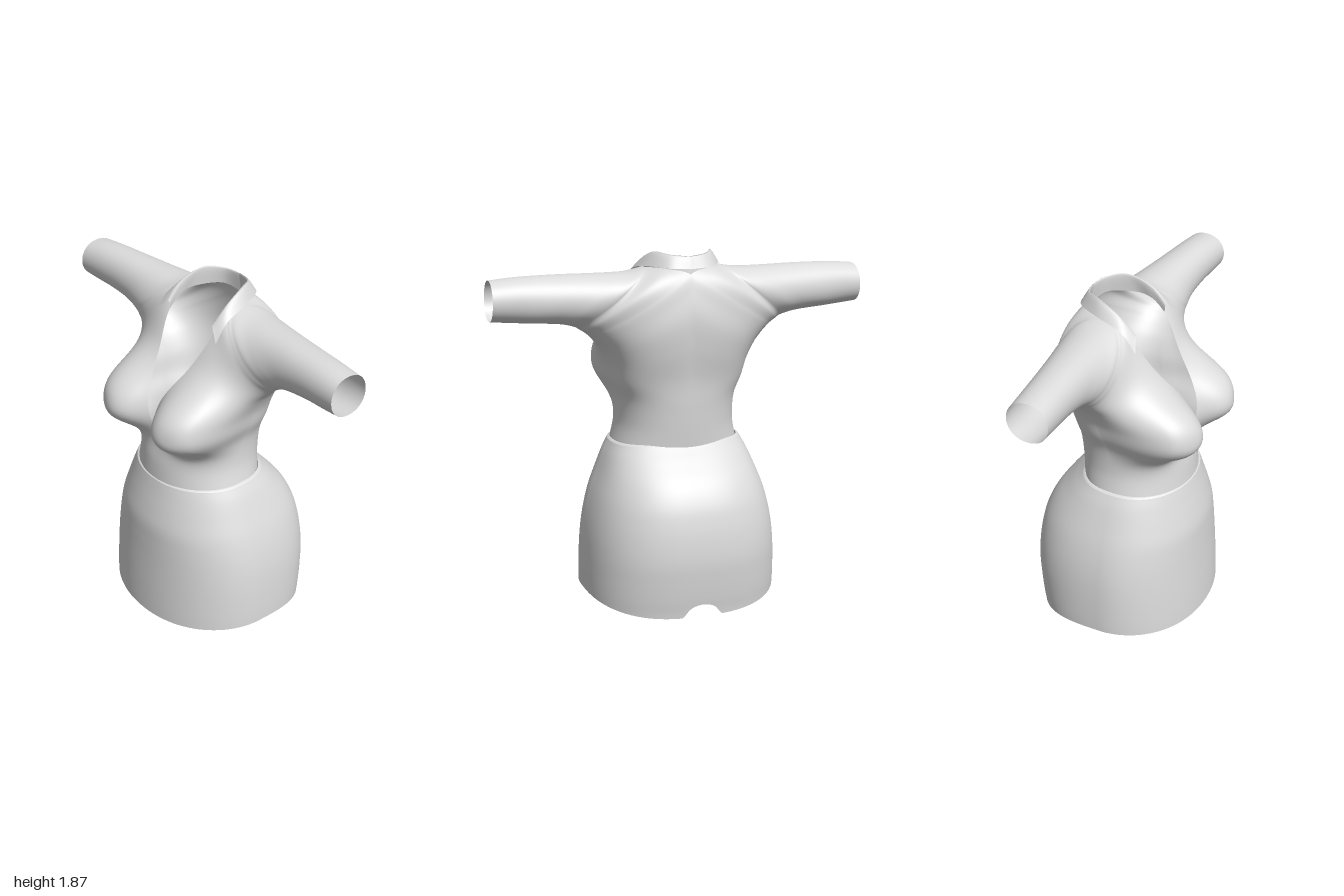
import * as THREE from 'three';
import { mergeVertices, mergeGeometries } from 'three/addons/utils/BufferGeometryUtils.js';

// Smooth interpolation through rows of numbers, t in 0..1
function sampleRows(rows, t) {
  const f = t * (rows.length - 1);
  const i = Math.min(Math.floor(f), rows.length - 2);
  const w = f - i;
  const row = (k) => rows[Math.max(0, Math.min(rows.length - 1, k))];
  return rows[0].map((_, c) => {
    const [a, b, d, e] = [row(i - 1)[c], row(i)[c], row(i + 1)[c], row(i + 2)[c]];
    return b + 0.5 * w * (d - a + w * (2 * a - 5 * b + 4 * d - e + w * (3 * (b - d) + e - a)));
  });
}

// Grid surface from a point function of (u, v)
function sheet(nu, nv, point, flip = false) {
  const pos = [], idx = [];
  for (let i = 0; i <= nu; i++) for (let j = 0; j <= nv; j++) pos.push(...point(i / nu, j / nv));
  for (let i = 0; i < nu; i++) for (let j = 0; j < nv; j++) {
    const a = i * (nv + 1) + j, b = a + 1, c = a + nv + 1, d = c + 1;
    if (flip) idx.push(a, c, b, b, c, d);
    else idx.push(a, b, c, b, d, c);
  }
  const g = new THREE.BufferGeometry();
  g.setAttribute('position', new THREE.Float32BufferAttribute(pos, 3));
  g.setIndex(idx);
  return g;
}

// Joins sheets into one smooth surface
function weld(sheets) {
  const g = mergeVertices(mergeGeometries(sheets), 1e-4);
  g.computeVertexNormals();
  return g;
}

// Sections fan from the waist round the armpit to the cuff.
// Outer edge (side seam, underarm): x, y, z
const outer = [
  [.34, .86, .06], [.318, .97, .05], [.322, 1.1, .04], [.355, 1.2, .02], [.376, 1.29, 0],
  [.415, 1.37, -.01], [.46, 1.425, -.02], [.497, 1.46, -.03], [.53, 1.482, -.035], [.56, 1.5, -.04],
  [.62, 1.518, -.048], [.69, 1.527, -.05], [.8, 1.535, -.05], [.9, 1.542, -.04], [.995, 1.55, -.035],
];
// Shoulder ridge and sleeve top, shared by front and back
const ridge = [
  [.2, 1.79, -.07], [.3, 1.775, -.08], [.45, 1.772, -.07], [.65, 1.772, -.052], [.85, 1.767, -.04], [.99, 1.755, -.035],
];
const ridgeStart = 9 / 14;
// Front edge of the open neckline, then the ridge
const frontInner = [
  [0, .85, .355], [0, .95, .345], [0, 1.06, .325], [.018, 1.2, .32], [.055, 1.35, .285],
  [.12, 1.5, .21], [.17, 1.65, .125], [.178, 1.76, .04], [.186, 1.79, -.03], ...ridge,
];
// Centre back and back neckline, then the ridge
const backInner = [
  [0, .86, -.22], [0, .96, -.23], [0, 1.08, -.24], [0, 1.22, -.25], [0, 1.4, -.278],
  [0, 1.55, -.288], [0, 1.68, -.268], [0, 1.765, -.24], [.11, 1.793, -.19], ...ridge,
];
// Section roundness: inner handle along the section, inner depth, outer depth
const frontShape = [
  [.56, 0, .165], [.57, 0, .17], [.57, 0, .21], [.5, 0, .26], [.45, .01, .26], [.4, .03, .21], [.3, .05, .18],
  [.2, .11, .18], [.1, .17, .19], [0, .2, .2], [0, .2, .19], [0, .18, .17], [0, .16, .16], [0, .15, .15], [0, .147, .147],
];
const backShape = [
  [.6, 0, -.18], [.6, 0, -.18], [.6, 0, -.19], [.6, -.005, -.2], [.57, -.02, -.21], [.53, -.035, -.225], [.47, -.055, -.235],
  [.37, -.085, -.235], [.2, -.13, -.23], [0, -.22, -.22], [0, -.205, -.205], [0, -.185, -.185], [0, -.167, -.167],
  [0, -.155, -.155], [0, -.147, -.147],
];

// Rounded fullness of the bust
function bust(x, y) {
  const dy = y - 1.24;
  const r = Math.hypot((x - .23) / .18, dy / (dy > 0 ? .2 : .15));
  return .19 * Math.exp(-(r ** 3));
}

function shirtPanel(inner, shape, isFront, side) {
  const point = (u, v) => {
    const onRidge = u > ridgeStart - 1e-6;
    const p = onRidge ? sampleRows(ridge, Math.max(0, (u - ridgeStart) / (1 - ridgeStart))) : sampleRows(inner, u);
    const o = sampleRows(outer, u), [a, b, c] = sampleRows(shape, u);
    p[0] = Math.max(0, p[0]);
    const curve = new THREE.CubicBezierCurve3(
      new THREE.Vector3(...p),
      new THREE.Vector3(p[0] + a * (o[0] - p[0]), p[1] + a * (o[1] - p[1]), p[2] + b),
      new THREE.Vector3(o[0], o[1], o[2] + c),
      new THREE.Vector3(...o));
    const q = curve.getPoint(v);
    if (isFront) {
      const swell = bust(q.x, q.y) * (1 - v ** 10);
      q.z += swell;
      q.x += swell * .25 * Math.max(0, Math.min(1, (q.x - .1) / .2));
    }
    return [side * q.x, q.y, q.z];
  };
  return sheet(98, 32, point, isFront === (side > 0));
}

// Collar lines from centre back to front tip
const collarBase = [[0, 1.745, -.232], [.1, 1.775, -.188], [.17, 1.77, -.06], [.176, 1.75, .03], [.172, 1.69, .1]];
const collarTop = [[0, 1.855, -.218], [.09, 1.864, -.19], [.152, 1.872, -.1], [.178, 1.82, .02], [.176, 1.735, .11]];
const collarLeaf = [[0, 1.795, -.25], [.12, 1.8, -.225], [.205, 1.8, -.09], [.232, 1.76, .055], [.242, 1.67, .14]];

function collarHalf(side) {
  const point = (u, v) => {
    const p = sampleRows([collarBase, collarTop, collarLeaf].map((line) => sampleRows(line, u)), v);
    return [side * Math.max(0, p[0]), p[1], p[2]];
  };
  return sheet(28, 10, point, side > 0);
}

// Skirt levels every 0.1 from hem to above the waist: half width, front z, back z
const skirtLevels = [
  [.522, .455, -.435], [.524, .452, -.45], [.522, .447, -.462], [.517, .441, -.47], [.507, .435, -.466],
  [.489, .43, -.452], [.462, .423, -.425], [.425, .4, -.37], [.385, .373, -.28], [.338, .35, -.19],
];

function skirtPoint(u, v) {
  const angle = u * Math.PI * 2 - Math.PI / 2;
  const c = Math.cos(angle), s = Math.sin(angle);
  // Outline: oval front, squarer back
  const power = 2 / (s > 0 ? 2.08 : 2.6);
  const round = (n) => Math.sign(n) * Math.abs(n) ** power;
  // Hem dips at the back, with a small arched vent at the centre
  let hem = s > 0 ? .07 - .03 * s * s : .07 - .07 * Math.abs(s) ** 1.6;
  const vent = Math.abs(.52 * round(c)) / .095;
  if (s < 0 && vent < 1) hem += .07 * Math.sqrt(1 - vent ** 2);
  const y = hem + (.86 - .01 * s - hem) * v;
  const [half, front, back] = sampleRows(skirtLevels, y / .9);
  const mid = .05;
  return [half * round(c), y, mid + (s > 0 ? front - mid : mid - back) * round(s)];
}

// Narrow rolled waistband edge, turned in to the shirt
function bandPoint(u, v) {
  const p = skirtPoint(u, 1), k = 1 - .045 * v;
  return [p[0] * k, p[1] + .008 * Math.sin(v * Math.PI / 2), .05 + (p[2] - .05) * k];
}

export function createModel() {
  const model = new THREE.Group();
  const cloth = new THREE.MeshStandardMaterial({ color: 0xdcdcdc, side: THREE.DoubleSide });
  cloth.name = 'light grey cloth';
  const add = (name, sheets) => {
    const mesh = new THREE.Mesh(weld(sheets), cloth);
    mesh.name = name;
    model.add(mesh);
  };

  add('shirt', [1, -1].flatMap((side) => [
    shirtPanel(frontInner, frontShape, true, side),
    shirtPanel(backInner, backShape, false, side),
  ]));
  add('collar', [1, -1].map(collarHalf));
  add('skirt', [sheet(240, 40, skirtPoint)]);
  add('waistband', [sheet(240, 3, bandPoint)]);
  return model;
}
